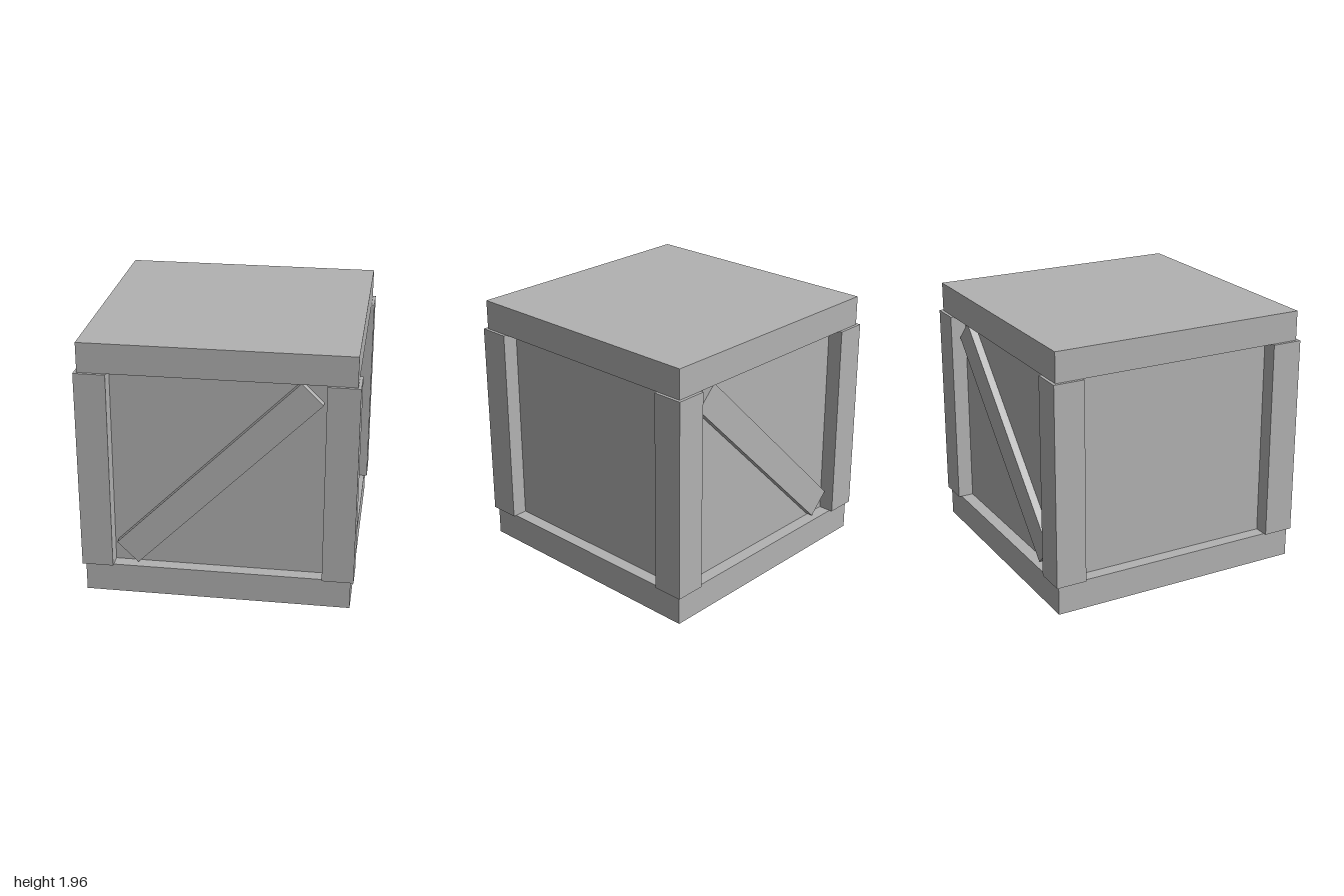
import * as THREE from 'three';

export function createModel() {
  const crate = new THREE.Group();
  crate.name = 'crate';
  const grey = new THREE.MeshStandardMaterial({ color: 0xb2b2b2 });
  grey.name = 'plain grey';

  const HEIGHT = 1.955, SLAB = 0.222, MID = HEIGHT / 2;
  const POST_HEIGHT = HEIGHT - 2 * SLAB;

  function box(name, size, position) {
    const mesh = new THREE.Mesh(new THREE.BoxGeometry(...size), grey);
    mesh.name = name;
    mesh.position.set(...position);
    crate.add(mesh);
    return mesh;
  }

  // Base and lid slabs
  box('base', [1.955, SLAB, 1.955], [0, SLAB / 2, 0]);
  box('lid', [1.955, SLAB, 1.955], [0, HEIGHT - SLAB / 2, 0]);

  // Recessed side panels, as one inner body
  box('panels', [1.765, POST_HEIGHT, 1.765], [0, MID, 0]);

  // Corner posts, standing slightly proud of the slabs
  for (const x of [-1, 1]) {
    for (const z of [-1, 1]) {
      box('cornerPost', [0.23, POST_HEIGHT, 0.23], [x * 0.885, MID, z * 0.885]);
    }
  }

  // Diagonal braces on front and back, both rising towards +x
  for (const z of [-1, 1]) {
    const brace = box(z > 0 ? 'frontBrace' : 'backBrace', [1.888, 0.219, 0.08], [0, MID + 0.002, z * 0.9]);
    brace.rotation.z = Math.PI / 4;
  }

  return crate;
}
